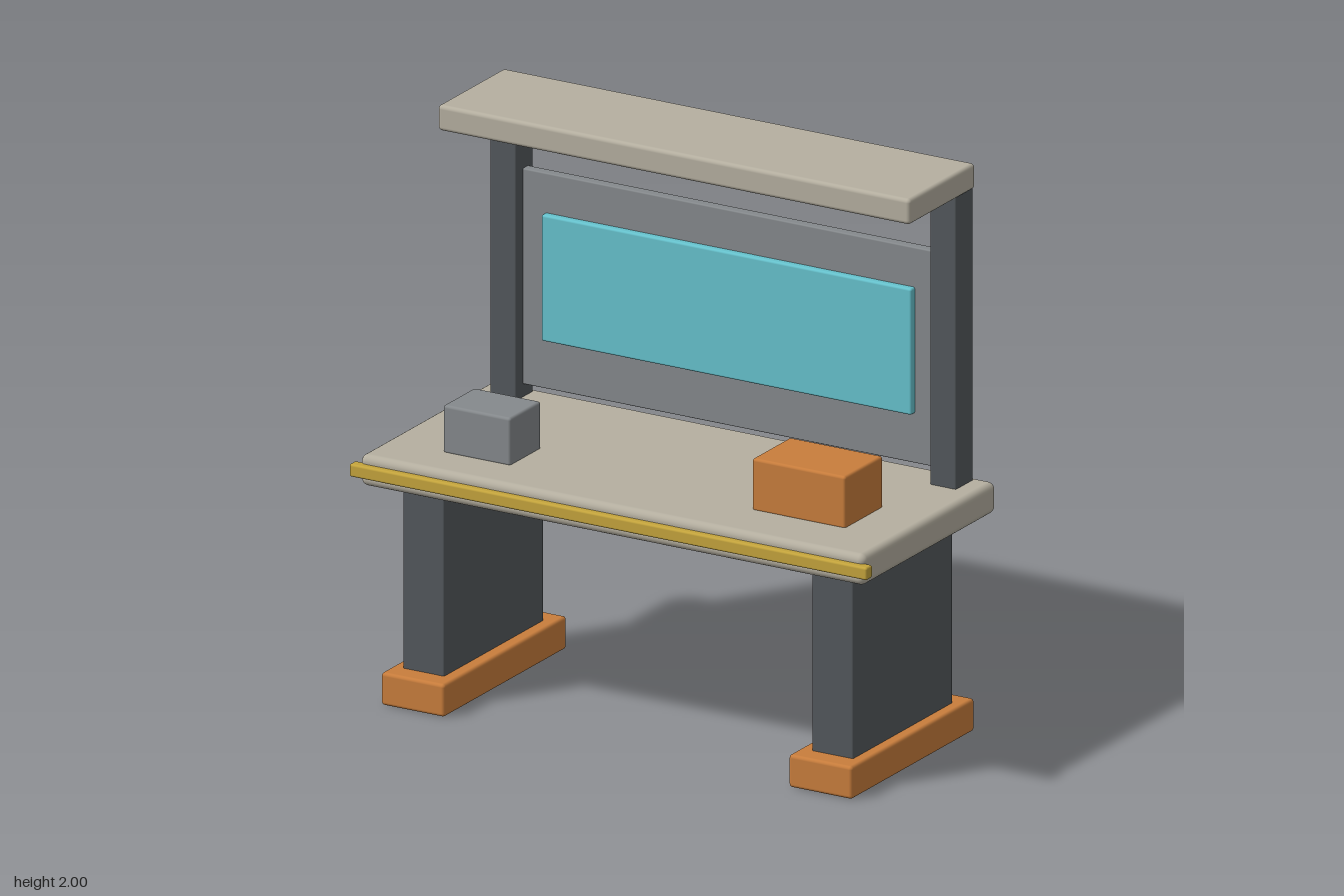
import * as THREE from 'three';
import { RoundedBoxGeometry } from 'three/addons/geometries/RoundedBoxGeometry.js';

function material(name, color) {
  const m = new THREE.MeshStandardMaterial({ color });
  m.name = name;
  return m;
}

export function createModel() {
  const model = new THREE.Group();
  model.name = 'workbench';

  const stone = material('warm grey', 0xb5afa0);
  const steel = material('dark steel', 0x53585c);
  const grey = material('panel grey', 0x85898c);
  const orange = material('orange', 0xc87d3c);
  const yellow = material('yellow', 0xc4a43c);
  const cyan = material('screen cyan', 0x66c2cd);
  const pale = material('lamp pale blue', 0xc3d0d8);

  // Rounded block given by its extents on each axis
  function block(name, mat, [x0, x1], [y0, y1], [z0, z1], radius) {
    const geo = new RoundedBoxGeometry(x1 - x0, y1 - y0, z1 - z0, 3, radius);
    const mesh = new THREE.Mesh(geo, mat);
    mesh.position.set((x0 + x1) / 2, (y0 + y1) / 2, (z0 + z1) / 2);
    mesh.name = name;
    model.add(mesh);
  }

  // Worktop with its front edge strip
  block('worktop', stone, [-0.975, 0.975], [0.77, 0.88], [-0.445, 0.415], 0.025);
  block('edgeStrip', yellow, [-1, 1], [0.805, 0.85], [0.4, 0.44], 0.008);

  // Feet, legs and rear posts, mirrored left and right
  for (const [side, s] of [['left', 1], ['right', -1]]) {
    const span = (a, b) => (s > 0 ? [a, b] : [-b, -a]);
    block(side + 'Foot', orange, span(0.665, 0.91), [0, 0.115], [-0.41, 0.385], 0.012);
    block(side + 'Leg', steel, span(0.71, 0.87), [0.1, 0.79], [-0.335, 0.31], 0.006);
    block(side + 'Post', steel, span(0.8, 0.9), [0.86, 1.96], [-0.417, -0.305], 0.006);
  }

  // Back panel and screen
  block('backPanel', grey, [-0.805, 0.805], [0.925, 1.685], [-0.387, -0.35], 0.005);
  block('screen', cyan, [-0.715, 0.715], [1.1, 1.545], [-0.36, -0.325], 0.008);

  // Canopy with the lamp below it
  block('canopy', stone, [-0.912, 0.912], [1.91, 2], [-0.412, 0.015], 0.014);
  block('lamp', pale, [-0.77, 0.77], [1.88, 1.925], [-0.19, -0.065], 0.006);

  // Boxes on the worktop
  block('smallBox', grey, [-0.75, -0.49], [0.875, 1.045], [0.05, 0.25], 0.01);
  block('largeBox', orange, [0.42, 0.78], [0.875, 1.06], [-0.035, 0.21], 0.01);

  return model;
}
